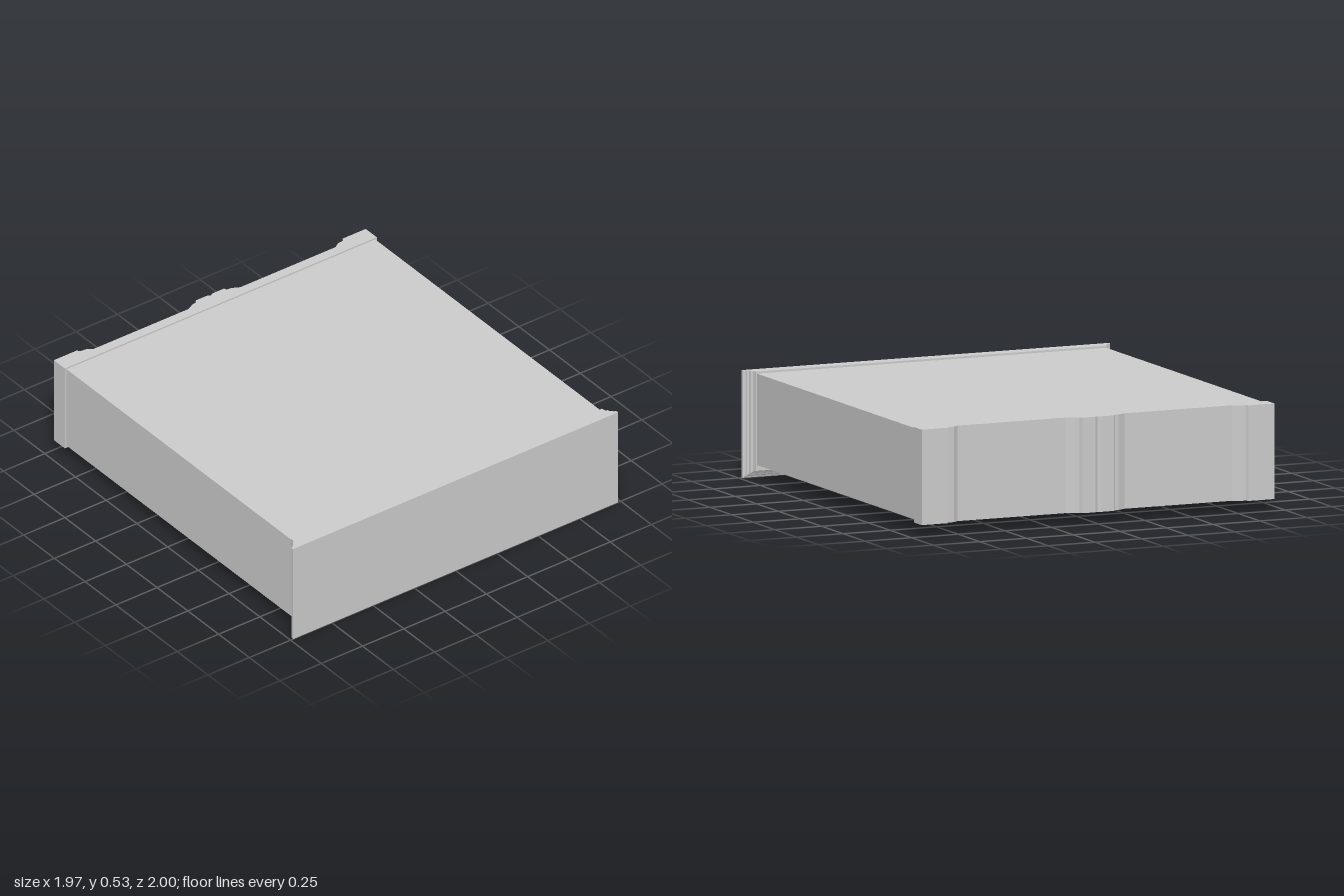
import * as THREE from 'three';

export function createModel() {
  const model = new THREE.Group();
  const material = new THREE.MeshStandardMaterial({ color: 0xcccccc, flatShading: true });

  function add(name, geometry) {
    const mesh = new THREE.Mesh(geometry, material);
    mesh.name = name;
    model.add(mesh);
  }

  // Box given by its lower and upper limits on each axis
  function addBox(name, [x0, x1], [y0, y1], [z0, z1]) {
    const geometry = new THREE.BoxGeometry(x1 - x0, y1 - y0, z1 - z0);
    geometry.translate((x0 + x1) / 2, (y0 + y1) / 2, (z0 + z1) / 2);
    add(name, geometry);
  }

  // Top board and the walls of the case, open underneath
  addBox('topBoard', [-0.935, 0.935], [0.49, 0.52], [-0.92, 0.93]);
  for (const side of [-1, 1]) {
    const xs = [side * 0.935, side * 0.873].sort((a, b) => a - b);
    addBox('sideWall', xs, [0.07, 0.49], [-0.92, 0.93]);
  }
  addBox('frontWall', [-0.873, 0.873], [0.07, 0.49], [0.86, 0.93]);
  addBox('backBlock', [-0.873, 0.873], [0.07, 0.49], [-0.92, -0.635]);
  addBox('footStrip', [-0.873, 0.873], [0.055, 0.07], [0.838, 0.905]);

  // Evenly spaced cross ribs inside the case
  for (let i = 0; i < 4; i++) {
    const z = -0.477 + i * 0.318;
    addBox('innerRib', [-0.873, 0.873], [0.085, 0.49], [z, z + 0.02]);
  }

  // Back panel with raised corner blocks and a notched centre block
  const half = [
    [0, -0.99], [0.015, -1], [0.085, -1], [0.093, -0.985], [0.118, -0.982], [0.157, -0.962],
    [0.735, -0.962], [0.763, -0.982], [0.797, -0.985], [0.805, -1], [0.945, -1], [0.945, -0.91],
  ];
  const outline = [...half, ...half.slice(1).reverse().map(([x, z]) => [-x, z])];
  const backShape = new THREE.Shape(outline.map(([x, z]) => new THREE.Vector2(x, -z)));
  const back = new THREE.ExtrudeGeometry(backShape, { depth: 0.47, bevelEnabled: false });
  back.rotateX(-Math.PI / 2).translate(0, 0.058, 0);
  add('backPanel', back);

  // Front panel: rectangles that step outwards at the sides and bottom, [outset, z]
  const steps = [
    [0.004, 0.927], [0.01, 0.95], [0.02, 0.955], [0.023, 0.967],
    [0.033, 0.971], [0.037, 0.981], [0.048, 0.985], [0.05, 1],
  ];
  const rings = steps.map(([out, z]) => {
    const x = 0.935 + out, y = 0.045 - 0.9 * out;
    return [[-x, y, z], [x, y, z], [x, 0.53, z], [-x, 0.53, z]];
  });
  const positions = [];
  const quad = (a, b, c, d) => positions.push(...a, ...b, ...c, ...a, ...c, ...d);
  for (let r = 0; r < rings.length - 1; r++) {
    for (let i = 0; i < 4; i++) {
      const j = (i + 1) % 4;
      quad(rings[r][i], rings[r][j], rings[r + 1][j], rings[r + 1][i]);
    }
  }
  quad(...rings[rings.length - 1]);
  quad(...[...rings[0]].reverse());
  const front = new THREE.BufferGeometry();
  front.setAttribute('position', new THREE.Float32BufferAttribute(positions, 3));
  front.computeVertexNormals();
  add('frontPanel', front);

  return model;
}
